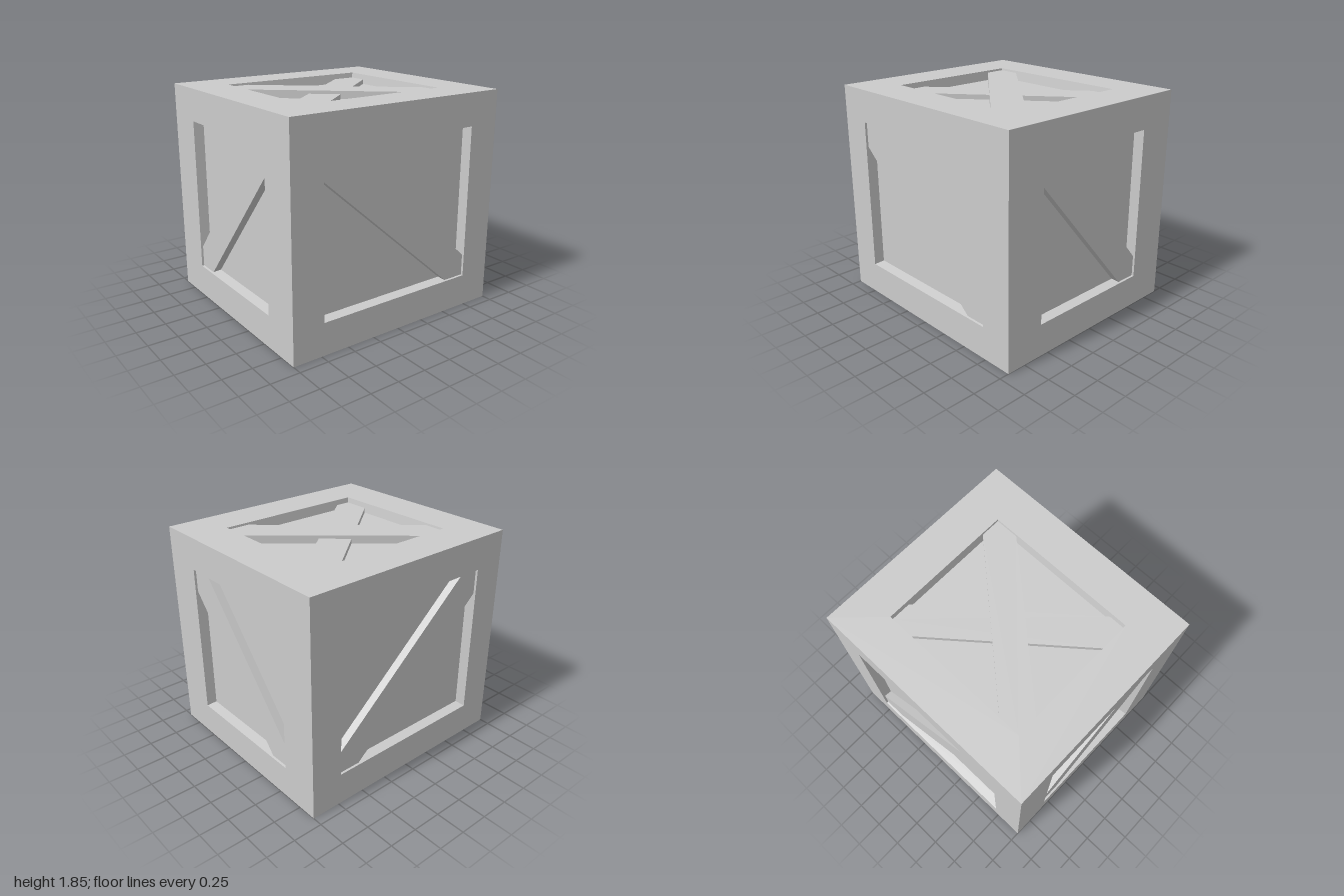
import * as THREE from 'three';

const HALF = { x: 0.915, y: 0.925, z: 1 };
const DEPTH = 0.085; // how far each panel lies below the frame
const TAPER = 0.012; // slight inward slope of the recess walls

const material = new THREE.MeshStandardMaterial({ color: 0xcccccc, flatShading: true });

// Frame, sloping recess walls and sunken panel, from nested rectangles
function panelGeometry(w, h, ow, oh) {
  const rect = (a, b, z) => [[-a, -b, z], [a, -b, z], [a, b, z], [-a, b, z]];
  const loops = [rect(w, h, 0), rect(ow, oh, 0), rect(ow - TAPER, oh - TAPER, -DEPTH)];
  const pos = [];
  const quad = (a, b, c, d) => pos.push(...a, ...b, ...c, ...a, ...c, ...d);
  for (let k = 0; k < 2; k++) {
    for (let i = 0; i < 4; i++) {
      const j = (i + 1) % 4;
      quad(loops[k][i], loops[k][j], loops[k + 1][j], loops[k + 1][i]);
    }
  }
  quad(...loops[2]);
  const geometry = new THREE.BufferGeometry();
  geometry.setAttribute('position', new THREE.Float32BufferAttribute(pos, 3));
  geometry.computeVertexNormals();
  return geometry;
}

// Diagonal board clipped to the opening; dir 1 rises to the right, -1 to the left
function braceGeometry(ow, oh, dir, sunk, [lowU, lowV, highU, highV]) {
  const points = [
    [-ow, -oh], [-ow + lowU, -oh], [ow, oh - highV],
    [ow, oh], [ow - highU, oh], [-ow, -oh + lowV],
  ].map(([u, v]) => new THREE.Vector2(u * dir, v));
  const geometry = new THREE.ExtrudeGeometry(new THREE.Shape(points), {
    depth: DEPTH - sunk, bevelEnabled: false,
  });
  return geometry.translate(0, 0, -DEPTH);
}

function makeSide(name, { size, opening, offset, rotation, dir, cuts, crossCuts }) {
  const side = new THREE.Group();
  side.name = name;
  const add = (label, geometry) => {
    const mesh = new THREE.Mesh(geometry, material);
    mesh.name = label;
    side.add(mesh);
  };
  add(name + 'Frame', panelGeometry(...size, ...opening));
  add(name + 'Brace', braceGeometry(...opening, dir, 0.018, cuts));
  // Lower board crossing beneath the main one
  if (crossCuts) add(name + 'CrossBrace', braceGeometry(...opening, -dir, 0.045, crossCuts));
  side.rotation.set(...rotation);
  side.updateMatrix();
  side.position.set(0, 0, offset).applyEuler(side.rotation);
  side.position.y += HALF.y;
  return side;
}

export function createModel() {
  const crate = new THREE.Group();
  crate.name = 'crate';
  const { x, y, z } = HALF;
  const q = Math.PI / 2;

  const ends = { size: [x, y], opening: [0.575, 0.65], offset: z, cuts: [0.185, 0.18, 0.18, 0.19] };
  const flanks = { size: [z, y], opening: [0.725, 0.65], offset: x, cuts: [0.195, 0.185, 0.175, 0.21] };
  const lids = {
    size: [x, z], opening: [0.58, 0.66], offset: y,
    cuts: [0.18, 0.19, 0.17, 0.2], crossCuts: [0.23, 0.13, 0.17, 0.2],
  };

  crate.add(
    makeSide('front', { ...ends, rotation: [0, 0, 0], dir: 1 }),
    makeSide('back', { ...ends, rotation: [0, 2 * q, 0], dir: -1 }),
    makeSide('left', { ...flanks, rotation: [0, q, 0], dir: -1 }),
    makeSide('right', { ...flanks, rotation: [0, -q, 0], dir: 1 }),
    makeSide('top', { ...lids, rotation: [-q, 0, 0], dir: 1 }),
    makeSide('bottom', { ...lids, rotation: [q, 0, 0], dir: -1 }),
  );
  return crate;
}
